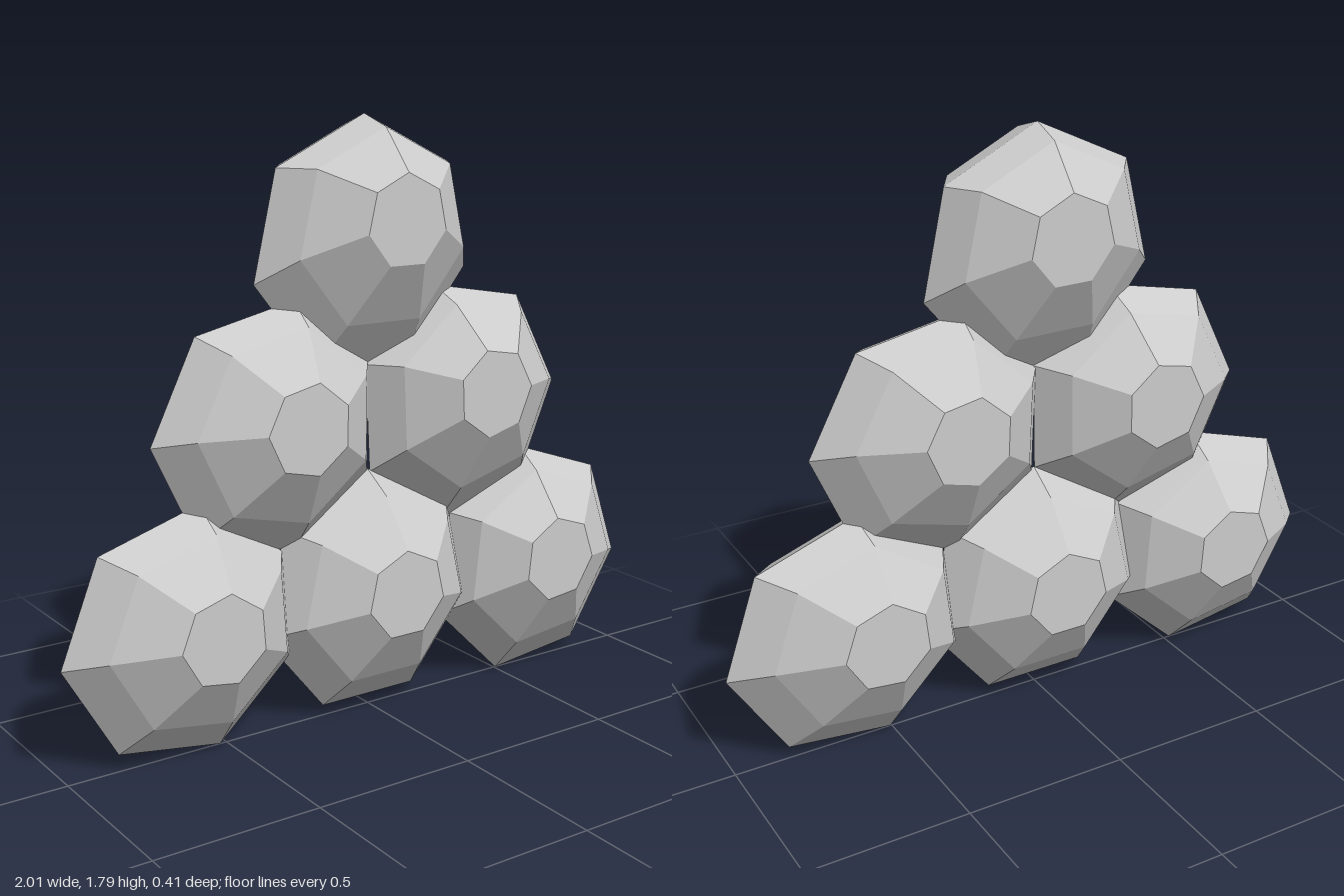
import * as THREE from 'three';

const SIDES = 7;

// Cross-sections from front to back: z, radius, share of the table's offset
const RINGS = [
  [0.207, 0.135, 1],
  [0.1, 0.29, 0.6],
  [0, 0.377, 0],
  [-0.1, 0.29, 0.6],
  [-0.207, 0.135, 1],
];

// Centre, angle of the first corner (degrees), offset of the flat tables
const GEMS = [
  { name: 'lowerRightGem', x: -0.63, y: 0.36, turn: 184, dx: 0.02, dy: 0.04 },
  { name: 'lowerMiddleGem', x: 0, y: 0.37, turn: 90, dx: 0, dy: 0.04 },
  { name: 'lowerLeftGem', x: 0.63, y: 0.355, turn: -6.5, dx: -0.04, dy: 0.055 },
  { name: 'middleRightGem', x: -0.34, y: 0.91, turn: 179.5, dx: 0.01, dy: 0.04 },
  { name: 'middleLeftGem', x: 0.34, y: 0.915, turn: 2.5, dx: -0.02, dy: 0.06 },
  { name: 'topGem', x: -0.015, y: 1.412, turn: 89.5, dx: 0.01, dy: 0.09 },
];

// Seven-sided faceted stone with a flat table on both faces
function gemGeometry({ turn, dx, dy }) {
  const rings = RINGS.map(([z, r, k]) =>
    Array.from({ length: SIDES }, (_, i) => {
      const a = THREE.MathUtils.degToRad(turn) + (i / SIDES) * Math.PI * 2;
      return [dx * k + r * Math.cos(a), dy * k + r * Math.sin(a), z];
    }));
  const pos = [];
  const tri = (a, b, c) => pos.push(...a, ...b, ...c);

  // facets between neighbouring rings
  for (let j = 0; j < rings.length - 1; j++) {
    for (let i = 0; i < SIDES; i++) {
      const n = (i + 1) % SIDES;
      const a = rings[j][i], b = rings[j][n];
      const c = rings[j + 1][i], d = rings[j + 1][n];
      tri(a, c, d);
      tri(a, d, b);
    }
  }
  // front and back tables
  const front = rings[0], back = rings[rings.length - 1];
  for (let i = 1; i < SIDES - 1; i++) {
    tri(front[0], front[i], front[i + 1]);
    tri(back[0], back[i + 1], back[i]);
  }
  const geo = new THREE.BufferGeometry();
  geo.setAttribute('position', new THREE.Float32BufferAttribute(pos, 3));
  geo.computeVertexNormals();
  return geo;
}

export function createModel() {
  const group = new THREE.Group();
  group.name = 'gemPyramid';
  const material = new THREE.MeshStandardMaterial({ color: 0xcccccc, flatShading: true });
  for (const gem of GEMS) {
    const mesh = new THREE.Mesh(gemGeometry(gem), material);
    mesh.name = gem.name;
    mesh.position.set(gem.x, gem.y, 0);
    group.add(mesh);
  }
  // stand on the ground
  const box = new THREE.Box3().setFromObject(group);
  for (const mesh of group.children) mesh.position.y -= box.min.y;
  return group;
}
